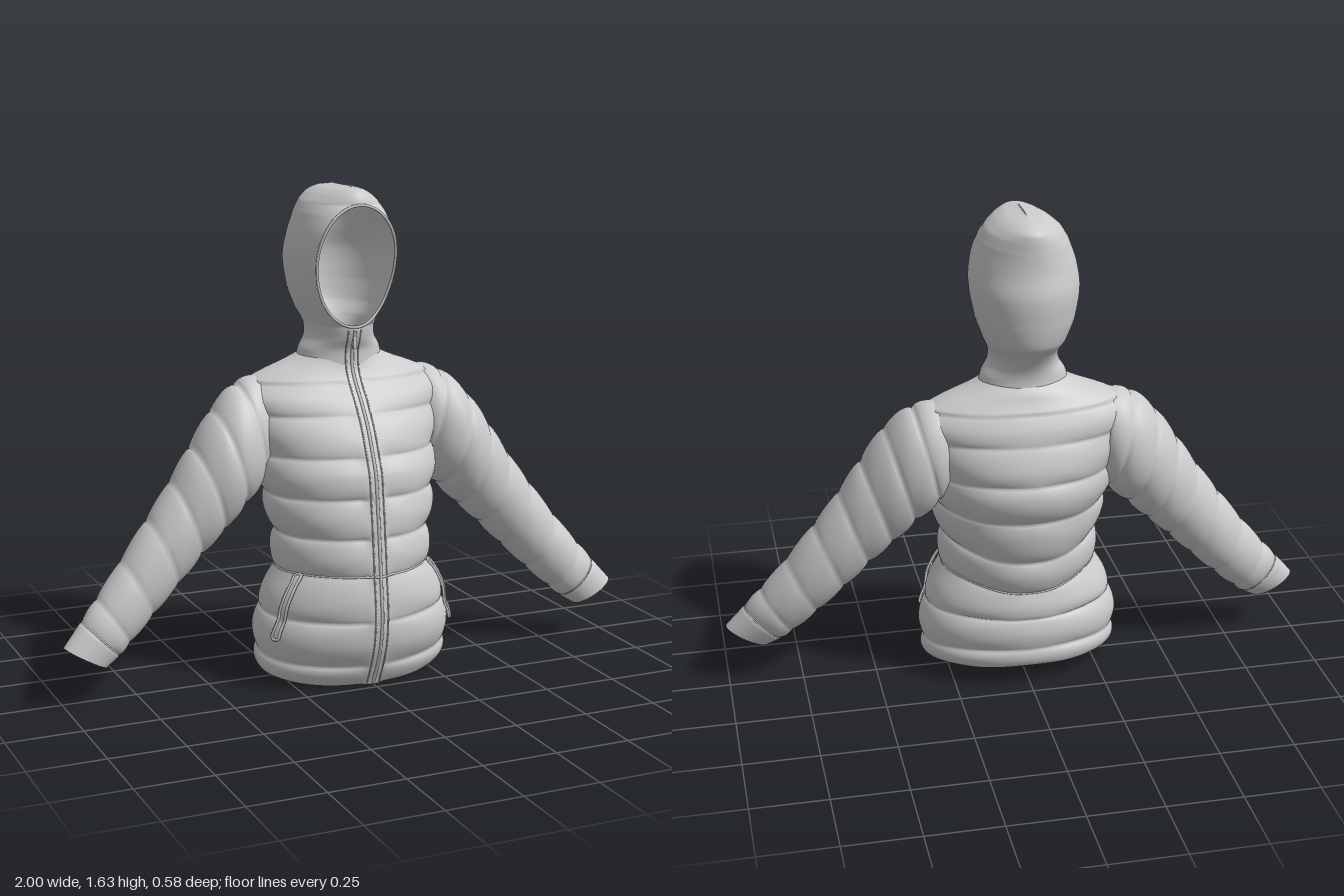
import * as THREE from 'three';
import { mergeVertices } from 'three/addons/utils/BufferGeometryUtils.js';

const material = new THREE.MeshStandardMaterial({ color: 0xcccccc, side: THREE.DoubleSide });

// Smooth interpolation of a table of rows at fractional row index t
function sampleRow(rows, t) {
  const last = rows.length - 1;
  const i = Math.min(Math.floor(t), last - 1), f = t - i;
  const at = k => rows[Math.max(0, Math.min(last, k))];
  return rows[i].map((p1, c) => {
    const p0 = at(i - 1)[c], p2 = at(i + 1)[c], p3 = at(i + 2)[c];
    return p1 + 0.5 * f * (p2 - p0 + f * (2 * p0 - 5 * p1 + 4 * p2 - p3 + f * (3 * (p1 - p2) + p3 - p0)));
  });
}

// Same, looked up by the first column (height)
function sampleHeight(rows, y) {
  let i = 0;
  while (i < rows.length - 2 && y > rows[i + 1][0]) i++;
  const f = (y - rows[i][0]) / (rows[i + 1][0] - rows[i][0]);
  return sampleRow(rows, i + Math.max(0, Math.min(1, f)));
}

// Surface swept over a grid: point(u, v) with u around and v along, both 0..1
function loft(name, nu, nv, point) {
  const pos = [], index = [];
  for (let j = 0; j <= nv; j++)
    for (let i = 0; i <= nu; i++) pos.push(...point(i / nu, j / nv).toArray());
  for (let j = 0; j < nv; j++)
    for (let i = 0; i < nu; i++) {
      const a = j * (nu + 1) + i, b = a + 1, c = a + nu + 1, d = c + 1;
      index.push(a, b, c, b, d, c);
    }
  let geo = new THREE.BufferGeometry();
  geo.setAttribute('position', new THREE.Float32BufferAttribute(pos, 3));
  geo.setIndex(index);
  geo = mergeVertices(geo, 1e-5);
  geo.computeVertexNormals();
  const mesh = new THREE.Mesh(geo, material);
  mesh.name = name;
  return mesh;
}

function cord(name, points, radius, closed = false) {
  const curve = new THREE.CatmullRomCurve3(points, closed);
  const mesh = new THREE.Mesh(new THREE.TubeGeometry(curve, points.length * 3, radius, 6, closed), material);
  mesh.name = name;
  return mesh;
}

// Padding between stitched seams: 0 at the fullest, -1 in the seam
function padding(seams, v) {
  for (let i = 0; i < seams.length - 1; i++)
    if (v >= seams[i] && v < seams[i + 1])
      return Math.pow(Math.sin(Math.PI * (v - seams[i]) / (seams[i + 1] - seams[i])), 0.6) - 1;
  return -0.5;
}

// Torso: height, half width, front z, back z
const torsoRows = [
  [0.04, 0.335, 0.22, -0.215], [0.11, 0.342, 0.252, -0.222], [0.18, 0.343, 0.28, -0.224],
  [0.26, 0.328, 0.292, -0.22], [0.38, 0.28, 0.28, -0.212], [0.5, 0.275, 0.268, -0.235],
  [0.6, 0.295, 0.255, -0.258], [0.72, 0.315, 0.238, -0.288], [0.8, 0.325, 0.205, -0.282],
  [0.88, 0.345, 0.165, -0.262], [0.95, 0.36, 0.115, -0.24], [1.0, 0.335, 0.075, -0.22],
  [1.03, 0.27, 0.055, -0.2], [1.06, 0.19, 0.045, -0.185], [1.09, 0.135, 0.045, -0.165],
];
const torsoSeams = [0.04, 0.11, 0.25, 0.39, 0.51, 0.64, 0.77, 0.9, 1.0, 1.09];

function torsoPoint(angle, y, lift = 0) {
  const [, w, front, back] = sampleHeight(torsoRows, y);
  const s = Math.sin(angle), c = Math.cos(angle);
  // widest line sits mid-body and moves back at the shoulders
  const mid = THREE.MathUtils.lerp(0.03, -0.08, THREE.MathUtils.smoothstep(y, 0.5, 1));
  const flat = c > 0 ? THREE.MathUtils.smoothstep(Math.abs(s) * w, 0.012, 0.05) : 1;
  const puff = 0.02 * padding(torsoSeams, y) * flat * (1 + 0.18 * Math.sin(7 * Math.abs(s) + 40 * y));
  const k = 1 + (puff * (y > 1.0 ? 0.3 : 1) + lift) / w;
  // hem drops in front; back seams dip into a chevron
  const tilt = -0.035 * c * (1 - THREE.MathUtils.smoothstep(y, 0.06, 0.4));
  const chevron = -0.045 * Math.pow(Math.max(0, -c), 3) * Math.exp(-Math.pow((y - 0.45) / 0.16, 2));
  return new THREE.Vector3(w * s * k, y + tilt + chevron, mid + (c > 0 ? front - mid : mid - back) * c * k);
}

// Sleeve: outer edge x, y; inner edge x, y; front z, back z. One row per seam
const sleeveRows = [
  [0.28, 1.02, 0.25, 0.74, 0.02, -0.19], [0.365, 1.0, 0.285, 0.67, 0.07, -0.205],
  [0.455, 0.92, 0.36, 0.595, 0.1, -0.19], [0.535, 0.81, 0.435, 0.52, 0.092, -0.16],
  [0.61, 0.7, 0.515, 0.445, 0.08, -0.135], [0.695, 0.585, 0.6, 0.36, 0.08, -0.115],
  [0.79, 0.46, 0.69, 0.272, 0.084, -0.09], [0.88, 0.35, 0.775, 0.195, 0.092, -0.06],
  [0.935, 0.285, 0.815, 0.16, 0.094, -0.035], [1.0, 0.21, 0.862, 0.13, 0.095, -0.005],
];

function sleevePoint(u, v, side) {
  const t = v * (sleeveRows.length - 1);
  const [ox, oy, ix, iy, front, back] = sampleRow(sleeveRows, t);
  const a = u * Math.PI * 2, c = Math.cos(a), s = Math.sin(a) * side;
  const puff = Math.pow(Math.abs(Math.sin(Math.PI * t)), 0.6) - 0.7;
  const k = 1 + (t > 8 ? 0 : 0.07 * puff * (1 + 0.2 * Math.sin(5 * c + 3 * t)));
  return new THREE.Vector3(
    side * Math.min(1, (ox + ix) / 2 + (ox - ix) / 2 * c * k),
    (oy + iy) / 2 + (oy - iy) / 2 * c * k,
    (front + back) / 2 + (front - back) / 2 * s * k);
}

// Collar and hood: height, half width, front z, back z
const hoodRows = [
  [1.04, 0.15, 0.048, -0.175], [1.1, 0.14, 0.047, -0.17], [1.14, 0.117, 0.064, -0.18],
  [1.18, 0.115, 0.072, -0.205], [1.23, 0.135, 0.062, -0.245], [1.3, 0.16, 0.065, -0.262],
  [1.4, 0.175, 0.083, -0.27], [1.48, 0.166, 0.1, -0.255], [1.55, 0.142, 0.11, -0.25],
  [1.585, 0.12, 0.11, -0.248], [1.61, 0.09, 0.1, -0.24], [1.627, 0.055, 0.075, -0.2],
  [1.636, 0.002, 0.0, -0.12],
];

// Half width of the egg-shaped face opening
function openingWidth(y) {
  const d = (y - 1.4) / (y > 1.4 ? 0.18 : 0.22);
  return Math.abs(d) < 1 ? 0.138 * Math.sqrt(1 - d * d) : 0;
}

function hoodPoint(u, y) {
  const [, w, front, back] = sampleHeight(hoodRows, y);
  const start = Math.asin(Math.min(0.92, openingWidth(y) / w));
  const a = start + u * 2 * (Math.PI - start);
  const c = Math.cos(a), mid = Math.min(-0.07, (front + back) / 2);
  const z = c > 0 ? mid + (front - mid) * c / Math.cos(start) : mid + (mid - back) * c;
  return new THREE.Vector3(w * Math.sin(a), y, z);
}

export function createModel() {
  const jacket = new THREE.Group();
  jacket.name = 'hoodedPaddedJacket';

  jacket.add(loft('torso', 96, 170, (u, v) => torsoPoint(u * Math.PI * 2, 0.04 + v * 1.05)));
  jacket.add(loft('hood', 72, 149, (u, v) => hoodPoint(u, 1.04 + v * 0.596)));

  // Rolled edge of the face opening
  const rim = [];
  for (let i = 0; i < 40; i++) {
    const a = (i / 40) * Math.PI * 2, up = Math.cos(a);
    const p = hoodPoint(0, 1.4 + up * (up > 0 ? 0.18 : 0.22) * 0.999);
    rim.push(new THREE.Vector3(p.x * (Math.sin(a) < 0 ? -1 : 1), p.y, p.z));
  }
  jacket.add(cord('hoodRim', rim, 0.005, true));

  // Front zip: centre line with a stitched edge on each side, up to the chin
  for (const [name, x, r] of [['zip', 0, 0.006], ['leftPlacketEdge', 0.022, 0.003], ['rightPlacketEdge', -0.022, 0.003]]) {
    const line = [];
    for (let y = 0.045; y < 1.05; y += 0.03) {
      const w = sampleHeight(torsoRows, y)[1];
      line.push(torsoPoint(Math.asin(x / w), y));
    }
    for (let y = 1.08; y <= 1.175; y += 0.03) {
      const [, w, front] = sampleHeight(hoodRows, y);
      line.push(new THREE.Vector3(x, y, -0.07 + (front + 0.07) * Math.sqrt(1 - (x / w) ** 2)));
    }
    jacket.add(cord(name, line, r));
  }
  const puller = new THREE.Mesh(new THREE.BoxGeometry(0.012, 0.04, 0.008), material);
  puller.name = 'zipPuller';
  puller.position.set(0, 1.13, 0.068);
  jacket.add(puller);

  // Stitched waist line
  const waist = [];
  for (let i = 0; i < 60; i++) waist.push(torsoPoint((i / 60) * Math.PI * 2, 0.39, 0.002));
  jacket.add(cord('waistDrawcord', waist, 0.004, true));

  for (const side of [1, -1]) {
    const label = side > 0 ? 'left' : 'right';
    jacket.add(loft(label + 'Sleeve', 48, 108, (u, v) => sleevePoint(u, v, side)));

    // Cuff stitching
    const cuff = [];
    for (let i = 0; i < 24; i++) cuff.push(sleevePoint(i / 24, 8 / 9, side));
    jacket.add(cord(label + 'CuffSeam', cuff, 0.003, true));

    // Slanted pocket welt
    const welt = (u, v) => torsoPoint(side * (1.02 + 0.06 * v + 0.09 * u), 0.39 - 0.2 * v, 0.012);
    jacket.add(loft(label + 'PocketWelt', 4, 16, welt));
    const edge = [];
    for (let i = 0; i <= 8; i++) edge.push(welt(0, i / 8));
    for (let i = 8; i >= 0; i--) edge.push(welt(1, i / 8));
    jacket.add(cord(label + 'PocketEdge', edge, 0.005, true));
  }
  return jacket;
}
